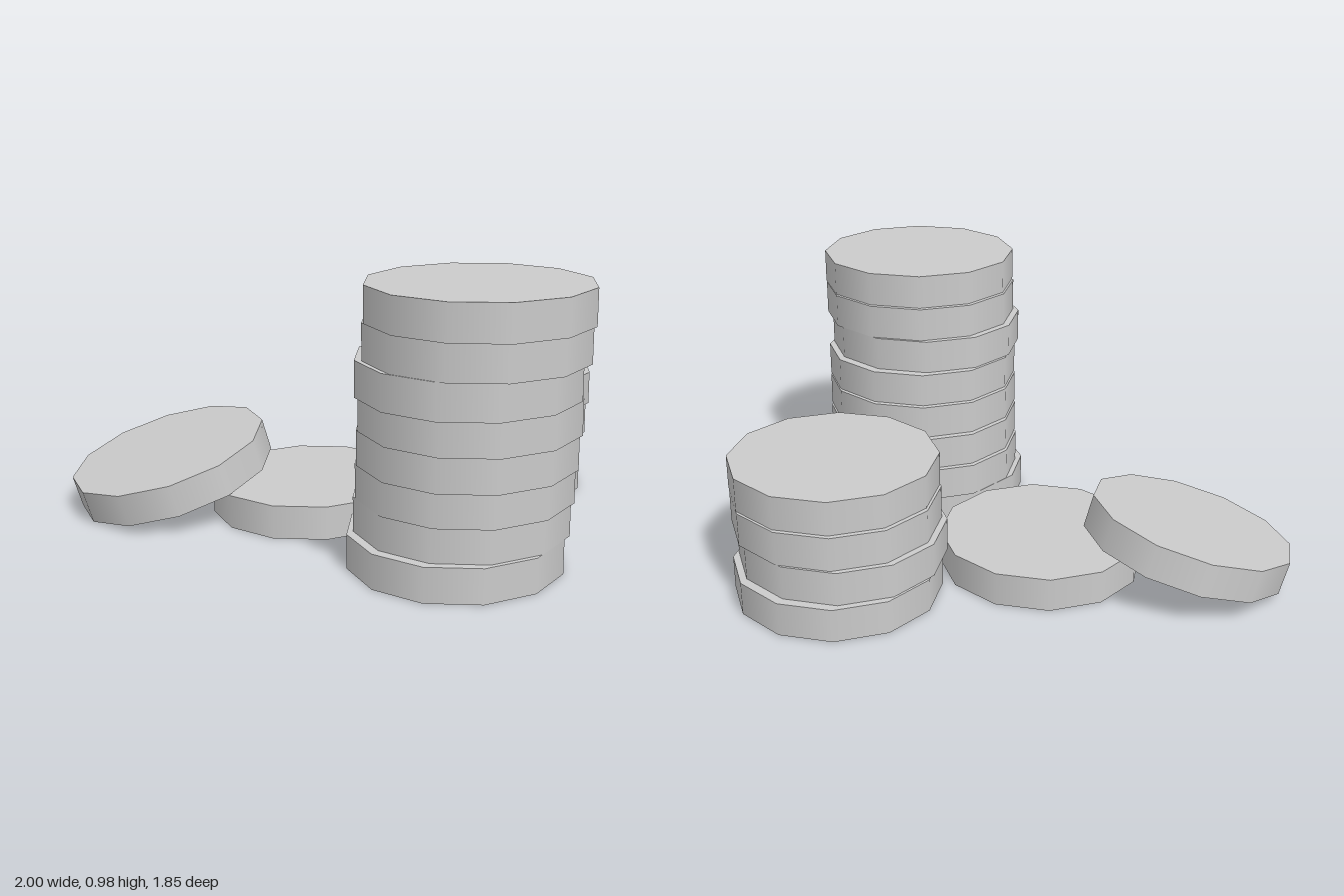
import * as THREE from 'three';

const RADIUS = 0.373;
const THICK = 0.1225;

export function createModel() {
  const model = new THREE.Group();
  model.name = 'coinPiles';
  const material = new THREE.MeshStandardMaterial({ color: 0xcccccc });
  const coinShape = new THREE.CylinderGeometry(RADIUS, RADIUS, THICK, 12);

  const coin = (name, x, y, z, parent = model) => {
    const mesh = new THREE.Mesh(coinShape, material);
    mesh.name = name;
    mesh.position.set(x, y, z);
    parent.add(mesh);
    return mesh;
  };

  // Stack of coins, each given by its x, z centre, from the bottom up
  const stack = (name, centres) => {
    const group = new THREE.Group();
    group.name = name;
    centres.forEach(([x, z], i) => coin(`${name}Coin${i + 1}`, x, (i + 0.5) * THICK, z, group));
    model.add(group);
  };

  // Tall stack leaning outward
  stack('tallStack', [
    [0.508, 0.148], [0.5, 0.113], [0.52, 0.12], [0.543, 0.133],
    [0.563, 0.143], [0.583, 0.173], [0.608, 0.163], [0.626, 0.17],
  ]);

  // Short stack at the back
  stack('shortStack', [[-0.027, -0.555], [-0.01, -0.525], [0.012, -0.535], [0.03, -0.53]]);

  // Single coin lying flat
  coin('flatCoin', -0.25, THICK / 2, 0.17);

  // Coin resting on the flat one, tilted towards the front
  const leaning = coin('leaningCoin', -0.625, 0.16, 0.551);
  const normal = new THREE.Vector3(-0.08, 1, 0.27).normalize();
  leaning.quaternion.setFromUnitVectors(new THREE.Vector3(0, 1, 0), normal);
  leaning.rotateY(-0.035);

  return model;
}
